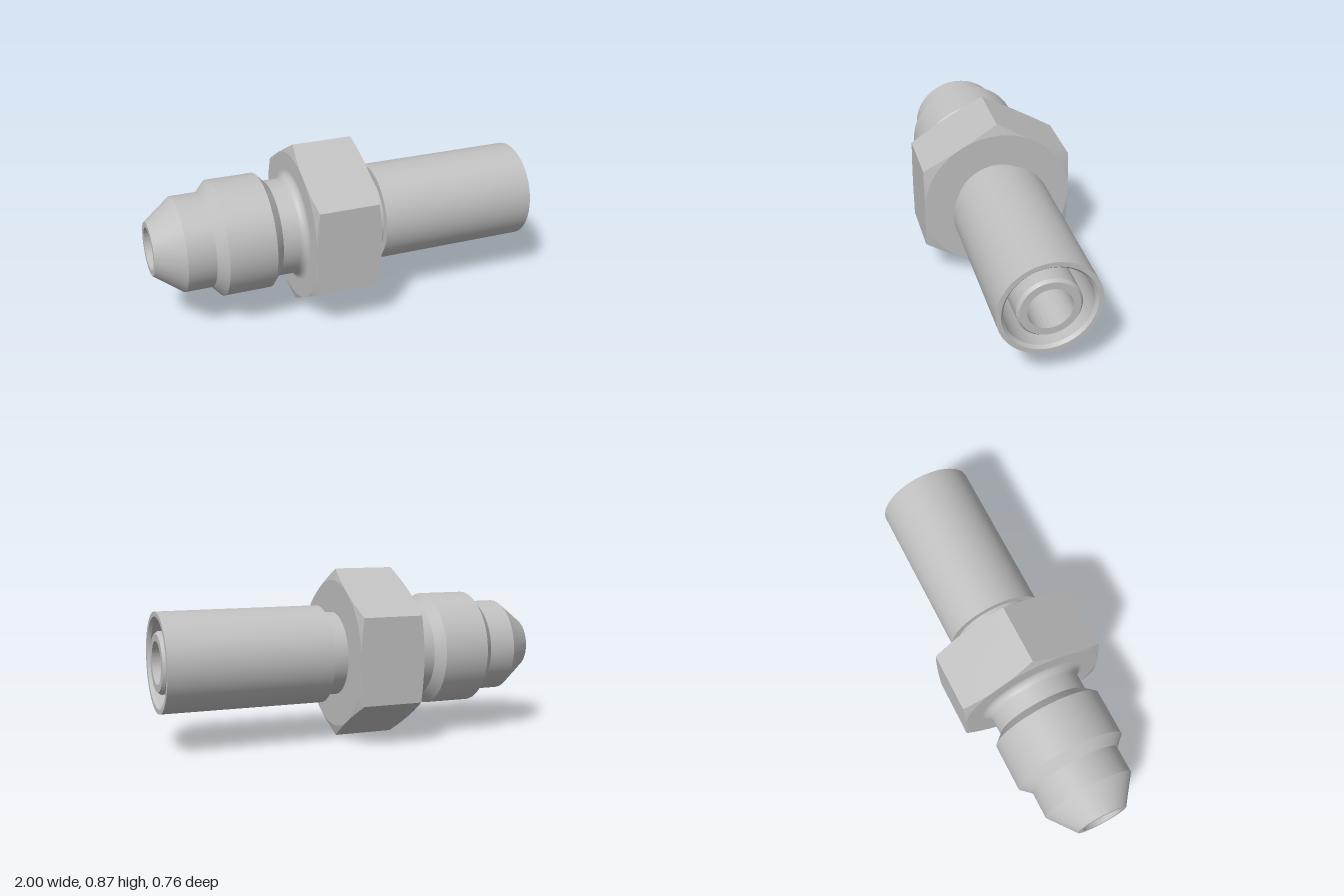
import * as THREE from 'three';
import { toCreasedNormals } from 'three/addons/utils/BufferGeometryUtils.js';

const AXIS_Y = 0.437;   // height of the fitting's axis
const APOTHEM = 0.378;  // half the hexagon's width across flats
const BORE = 0.107;
const SEGMENTS = 96;

export function createModel() {
  const group = new THREE.Group();
  const steel = new THREE.MeshStandardMaterial({ color: 0xc0c0c0 });
  steel.name = 'steel';

  // Revolve [x, radius] points about the x axis; reshape may move the vertices
  function turned(name, points, crease, reshape) {
    const profile = points.map(([x, r]) => new THREE.Vector2(r, x));
    let geometry = new THREE.LatheGeometry(profile, SEGMENTS);
    if (reshape) reshape(geometry.attributes.position);
    geometry.rotateZ(-Math.PI / 2);
    geometry = toCreasedNormals(geometry, crease);
    const mesh = new THREE.Mesh(geometry, steel);
    mesh.name = name;
    mesh.position.y = AXIS_Y;
    group.add(mesh);
  }

  // Coned nose, threaded collar and neck with a fillet into the hexagon
  const fillet = [];
  for (let i = 0; i <= 8; i++) {
    const a = (i / 8) * Math.PI / 2;
    fillet.push([-0.3 + 0.04 * Math.sin(a), 0.285 - 0.04 * Math.cos(a)]);
  }
  turned('noseAndCollar', [
    [-1, BORE], [-1, 0.135], [-0.86, 0.24], [-0.72, 0.24], [-0.67, 0.293],
    [-0.43, 0.293], [-0.385, 0.245], ...fillet,
  ], 0.35);

  // Hexagon: the widest rings are pushed out to six flats, with conical corners
  const left = -0.26, right = 0.08;
  turned('hexagon', [
    [left, 0.2], [left, APOTHEM], [left, 0.43],
    [right, 0.43], [right, APOTHEM], [right, 0.2],
  ], 0.15, (pos) => {
    const sector = Math.PI / 3;
    for (let i = 0; i < pos.count; i++) {
      const x = pos.getX(i), y = pos.getY(i), z = pos.getZ(i);
      const r = Math.hypot(x, z);
      if (r < 0.4) continue;
      const angle = Math.atan2(x, z);
      const offset = angle - Math.round(angle / sector) * sector;
      const hexRadius = APOTHEM / Math.cos(offset);
      const cut = (hexRadius - APOTHEM) * Math.tan(Math.PI / 12);
      pos.setXYZ(i, x * hexRadius / r, y < 0 ? y + cut : y - cut, z * hexRadius / r);
    }
  });

  // Neck between hexagon and sleeve
  turned('neck', [[0.07, 0.213], [0.165, 0.213]], 0.35);

  // Sleeve: thin tube, chamfered inside its mouth, closed at the inner end
  turned('sleeve', [
    [0.165, 0.2], [0.165, 0.25], [1, 0.25], [1, 0.226],
    [0.985, 0.213], [0.3, 0.213], [0.3, 0.15],
  ], 0.35);

  // Inner nipple and the bore running the whole length
  turned('nippleAndBore', [
    [0.3, 0.155], [0.985, 0.155], [1, 0.143], [1, BORE], [-1, BORE],
  ], 0.35);

  return group;
}
